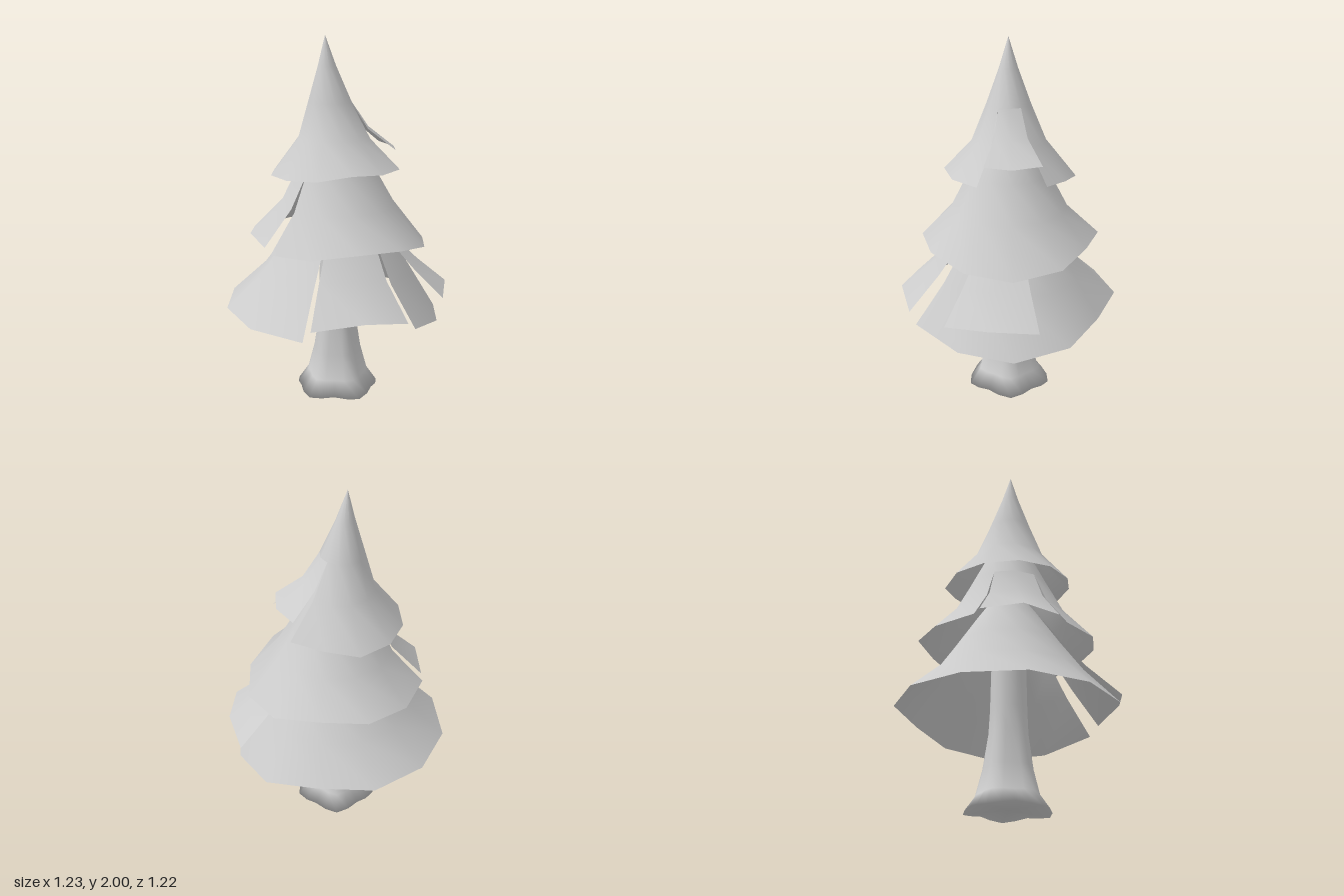
import * as THREE from 'three';

const SIDES = 12;
const rad = THREE.MathUtils.degToRad;
const material = new THREE.MeshStandardMaterial({ color: 0xcccccc, side: THREE.DoubleSide });

// Skin rings of points, listed from top to bottom; skip(i, j) leaves out a quad.
function skin(name, rings, closed, skip = () => false) {
  const n = rings[0].length, index = [];
  for (let i = 0; i < rings.length - 1; i++) {
    for (let j = 0; j < (closed ? n : n - 1); j++) {
      if (skip(i, j)) continue;
      const k = (j + 1) % n;
      const a = i * n + j, b = i * n + k, c = a + n, d = b + n;
      index.push(a, b, c, b, d, c);
    }
  }
  const geometry = new THREE.BufferGeometry();
  geometry.setAttribute('position', new THREE.Float32BufferAttribute(rings.flat(2), 3));
  geometry.setIndex(index);
  geometry.computeVertexNormals();
  const mesh = new THREE.Mesh(geometry, material);
  mesh.name = name;
  return mesh;
}

const polar = (r, y, deg, cx = 0) => [cx + r * Math.cos(rad(deg)), y, r * Math.sin(rad(deg))];

// Profiles are [radius, height, centre x]; the rim has its own radius and height per side.
// Each cut starts at a side, is two sides wide and opens below ring "hinge".
const tiers = [
  {
    name: 'lowerBranches',
    profile: [[0.1, 1.2, 0.02], [0.17, 1.1, 0.02], [0.3, 0.9, 0.015], [0.42, 0.72, 0]],
    rimR: [0.59, 0.58, 0.595, 0.61, 0.61, 0.62, 0.62, 0.625, 0.62, 0.61, 0.55, 0.595],
    rimY: [0.44, 0.46, 0.52, 0.54, 0.51, 0.52, 0.53, 0.53, 0.54, 0.54, 0.52, 0.48],
    cut: 2, hinge: 1, flap: [[66, 0.605, 0.57], [90, 0.61, 0.61], [116, 0.61, 0.57]],
  },
  {
    name: 'middleBranches',
    profile: [[0.06, 1.6, -0.02], [0.12, 1.48, -0.01], [0.22, 1.28, 0], [0.32, 1.09, 0.01]],
    rimR: [0.51, 0.5, 0.49, 0.48, 0.48, 0.475, 0.48, 0.485, 0.49, 0.5, 0.466, 0.51],
    rimY: [0.86, 0.88, 0.92, 0.93, 0.9, 0.89, 0.9, 0.9, 0.9, 0.92, 0.92, 0.89],
    cut: 5, hinge: 2, flap: [[156, 0.475, 0.92], [180, 0.48, 0.95], [207, 0.475, 0.93]],
  },
  {
    name: 'topBranches',
    profile: [[0, 2, -0.06], [0.05, 1.84, -0.05], [0.12, 1.65, -0.035], [0.2, 1.46, -0.01]],
    rimR: [0.35, 0.355, 0.35, 0.35, 0.35, 0.358, 0.36, 0.36, 0.365, 0.365, 0.335, 0.36],
    rimY: [1.29, 1.3, 1.3, 1.31, 1.28, 1.27, 1.265, 1.26, 1.26, 1.255, 1.28, 1.3],
    cut: 11, hinge: 2, flap: [[-29, 0.33, 1.4], [0, 0.33, 1.395], [26, 0.325, 1.4]],
  },
];

function makeTier({ name, profile, rimR, rimY, cut, hinge, flap }) {
  const group = new THREE.Group();
  group.name = name;
  const rings = profile.map(([r, y, cx]) =>
    Array.from({ length: SIDES }, (_, j) => polar(r, y, j * 30, cx)));
  rings.push(rimR.map((r, j) => polar(r, rimY[j], j * 30)));
  const inCut = (i, j) => i >= hinge && (j - cut + SIDES) % SIDES < 2;
  group.add(skin(name + 'Skirt', rings, true, inCut));

  // Loose flap hanging from the top of the cut, lifted clear of the skirt
  const lower = rings.slice(hinge).map(ring => [0, 1, 2].map(k => ring[(cut + k) % SIDES]));
  const last = lower.length - 1;
  const end = flap.map(([deg, r, y]) => polar(r, y, deg));
  const flapRings = lower.map((ring, i) => ring.map((p, k) =>
    p.map((v, c) => v + (end[k][c] - lower[last][k][c]) * i / last)));
  group.add(skin(name + 'Flap', flapRings, false));
  return group;
}

export function createModel() {
  const model = new THREE.Group();
  for (const tier of tiers) model.add(makeTier(tier));

  // Extra bough lying over the lower skirt on the left side
  const bough = [[0.3, 0.92], [0.455, 0.76], [0.62, 0.615]].map(([r, y], i) =>
    [-12, 12, 35].map((deg, k) => polar(r, y + (k === 1 ? 0.01 * i : 0), deg)));
  model.add(skin('sideBough', bough, false));

  // Trunk flaring into lobed roots, closed underneath
  const trunk = [[0.09, 1.15, 0], [0.1, 0.55, 0.03], [0.105, 0.42, 0.05], [0.13, 0.23, 0.08],
    [0.165, 0.09, 0.08], [0.225, 0, 0.06], [0, 0.015, 0]];
  const trunkRings = trunk.map(([r, y, lobe]) => Array.from({ length: 20 }, (_, j) => {
    const wave = Math.cos(rad(j * 18 * 5));
    const lift = r > 0.2 ? 0.008 * (1 - wave) : 0;
    return polar(r * (1 + lobe * wave), y + lift, j * 18, 0.005);
  }));
  model.add(skin('trunk', trunkRings, true));
  return model;
}
